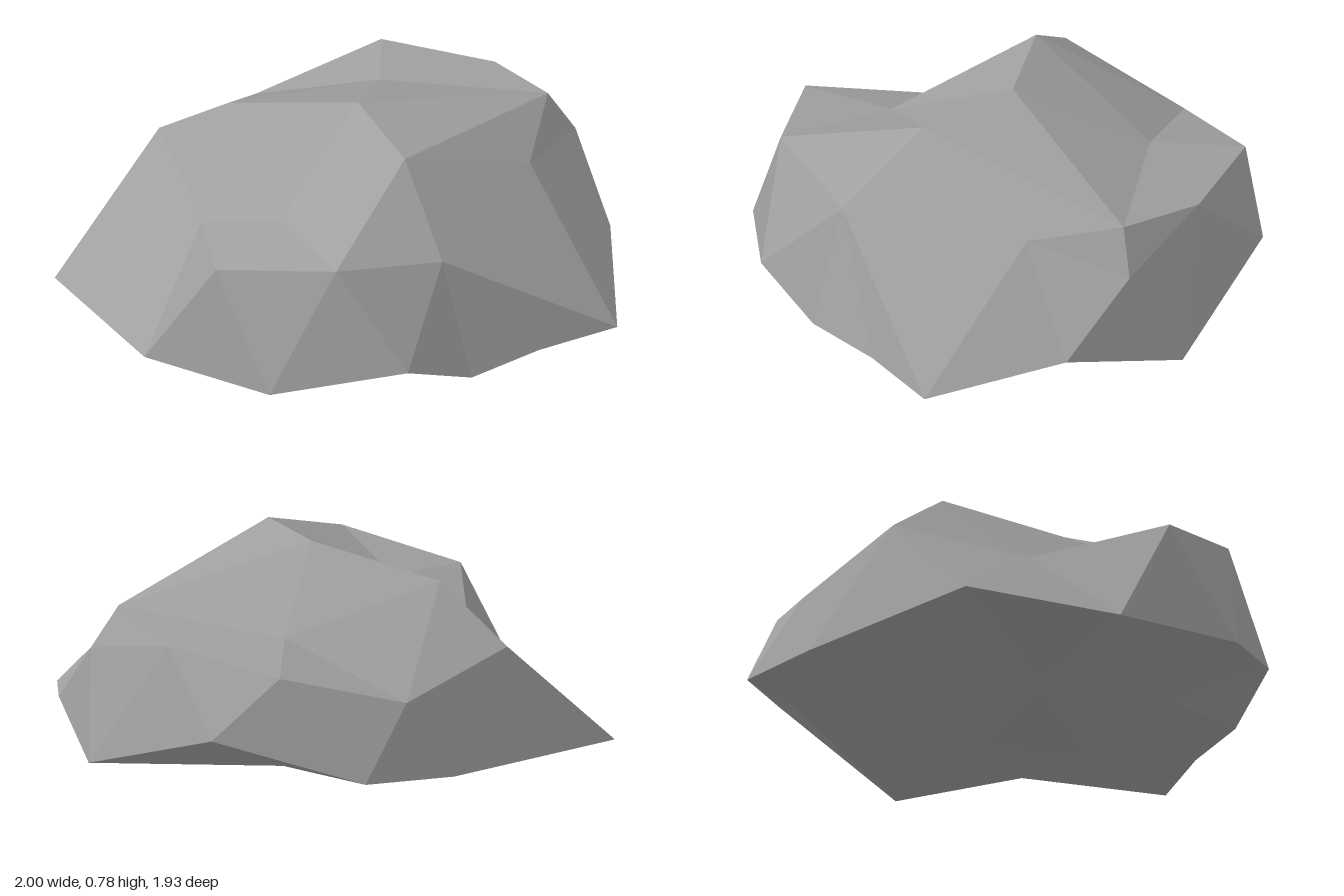
import * as THREE from 'three';

// Corner points of the boulder, grouped by height
const corners = {
  // crown
  H: [-0.335, 0.675, -0.3], I: [0.085, 0.78, -0.02], J: [0.155, 0.765, 0.37],
  K: [0.845, 0.615, -0.13], k: [0.3, 0.55, -0.48], W: [-0.305, 0.53, 0.3],
  // shoulder
  F: [-0.54, 0.468, -0.51], V: [-0.52, 0.375, 0], T: [-0.61, 0.5, 0.51],
  Q: [-0.225, 0.595, 0.78], P: [0.2, 0.525, 0.72], Y: [0.685, 0.54, 0.19],
  L: [0.945, 0.455, -0.11], X: [0.74, 0.55, -0.48], C: [0.4, 0.495, -0.82],
  D: [-0.09, 0.36, -0.79],
  // rim
  G: [-1, 0.02, -0.3], U: [-0.825, 0.02, 0.3], S: [-0.48, 0.095, 0.78],
  R: [0, 0.22, 0.96], Z: [0.27, 0.095, 0.87], a: [0.56, 0.095, 0.76],
  O: [0.88, 0.095, 0.69], N: [1, 0.19, 0.17], M: [1, 0.067, -0.3],
  B: [0.65, 0.26, -0.78], A: [0.11, 0.11, -0.97], E: [-0.27, 0.065, -0.79],
  // underside
  b: [0.375, 0.145, -0.77], c: [0.37, 0.015, -0.09], d: [0.46, 0.02, 0.386],
  e: [-0.03, 0.05, 0.6], f: [-0.22, 0, 0.077],
};

// Each facet group fans out from its first corner
const fans = [
  'kIKXCDHI', 'JIKYPQWI', 'IHW', 'WTQ',          // crown
  'VFHWTUGF',                                    // hollow on one side
  'YKLNOP', 'LKXMN', 'BXCAbMX', 'DCAEFH', 'EFG', // flanks
  'STQRefUT', 'PQRZaO',                          // front
  'eRZadf', 'daONcf', 'cNMbf', 'fbEGU', 'bAE',   // underside
];

function facetGeometry() {
  const centre = new THREE.Vector3(0, 0.3, 0);
  const positions = [];
  for (const fan of fans) {
    for (let i = 1; i < fan.length - 1; i++) {
      const [p, q, r] = [fan[0], fan[i], fan[i + 1]].map((n) => new THREE.Vector3(...corners[n]));
      // turn every facet outward from the middle
      const facet = new THREE.Triangle(p, q, r);
      const outward = facet.getMidpoint(new THREE.Vector3()).sub(centre);
      const faces = facet.getNormal(new THREE.Vector3()).dot(outward) > 0;
      for (const v of faces ? [p, q, r] : [p, r, q]) positions.push(v.x, v.y, v.z);
    }
  }
  const geometry = new THREE.BufferGeometry();
  geometry.setAttribute('position', new THREE.Float32BufferAttribute(positions, 3));
  geometry.computeVertexNormals(); // unshared corners give flat facets
  return geometry;
}

export function createModel() {
  const stone = new THREE.MeshStandardMaterial({ color: 0xa0a0a0, flatShading: true });
  stone.name = 'stone grey';
  const boulder = new THREE.Mesh(facetGeometry(), stone);
  boulder.name = 'boulder';
  const group = new THREE.Group();
  group.name = 'rock';
  group.add(boulder);
  return group;
}
